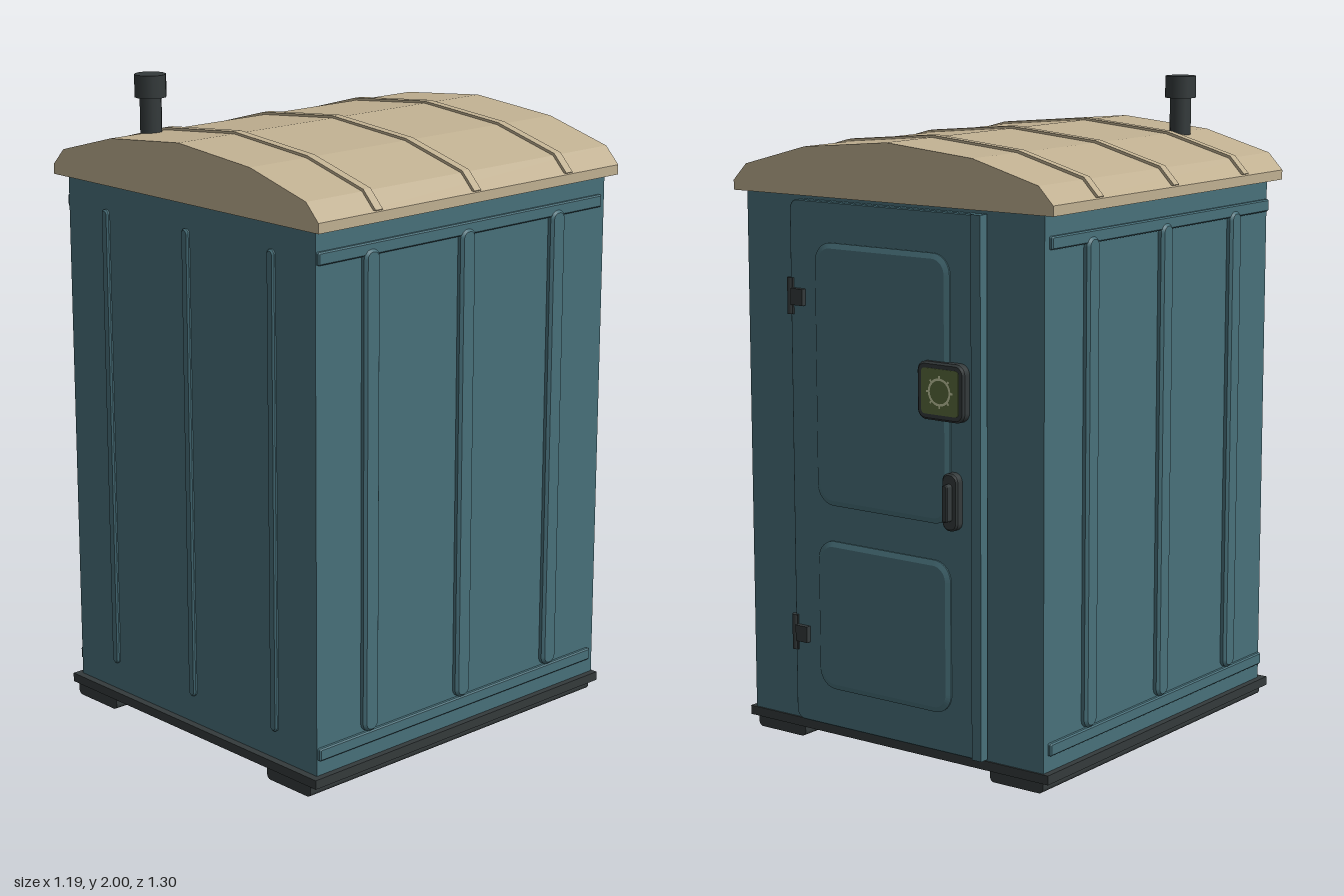
import * as THREE from 'three';

const mat = (name, color) => {
  const m = new THREE.MeshStandardMaterial({ color });
  m.name = name;
  return m;
};

export function createModel() {
  const teal = mat('teal plastic', 0x48707a);
  const tan = mat('tan plastic', 0xc0b091);
  const dark = mat('charcoal', 0x343a3b);
  const olive = mat('olive sign', 0x5a6b3c);
  const pale = mat('pale ring', 0xc3c9a0);

  const model = new THREE.Group();
  model.name = 'portableCabin';

  const add = (name, geo, material, x = 0, y = 0, z = 0, ry = 0) => {
    const m = new THREE.Mesh(geo, material);
    m.name = name;
    m.position.set(x, y, z);
    m.rotation.y = ry;
    model.add(m);
    return m;
  };
  // Box given by its limits on each axis
  const box = (name, material, x0, x1, y0, y1, z0, z1) =>
    add(name, new THREE.BoxGeometry(x1 - x0, y1 - y0, z1 - z0), material,
      (x0 + x1) / 2, (y0 + y1) / 2, (z0 + z1) / 2);

  // Rounded plate centred on x and y, rising along +z, with a chamfered front rim
  const plate = (w, h, r, depth, bevel) => {
    const a = w / 2 - bevel, b = h / 2 - bevel, q = Math.max(r - bevel, 0.001);
    const s = new THREE.Shape();
    s.absarc(a - q, b - q, q, 0, Math.PI / 2);
    s.absarc(-a + q, b - q, q, Math.PI / 2, Math.PI);
    s.absarc(-a + q, -b + q, q, Math.PI, Math.PI * 1.5);
    s.absarc(a - q, -b + q, q, Math.PI * 1.5, Math.PI * 2);
    const lift = Math.min(bevel, depth / 2);
    const g = new THREE.ExtrudeGeometry(s, {
      depth: depth - lift, bevelEnabled: bevel > 0, bevelSize: bevel,
      bevelThickness: lift, bevelSegments: 1, curveSegments: 5,
    });
    return g;
  };

  // Base slab and skids
  box('baseSlab', dark, -0.57, 0.57, 0.035, 0.063, -0.575, 0.648);
  for (const s of [-1, 1]) {
    const skid = add('skid', plate(0.19, 0.06, 0.015, 1.2, 0), dark, s * 0.45, 0.03, -0.565);
    skid.scale.z = 1.21 / 1.2;
  }

  // Cabin walls
  box('cabin', teal, -0.55, 0.55, 0.06, 1.69, -0.57, 0.625);

  // Upright ribs on the front wall
  for (const x of [-0.37, 0, 0.37])
    add('frontRib', plate(0.03, 1.45, 0.015, 0.012, 0.005), teal, x, 0.875, 0.623);

  // Side ribs and the rails that join them
  for (const s of [-1, 1]) {
    for (const z of [0.42, 0.035, -0.35])
      add('sideRib', plate(0.06, 1.45, 0.028, 0.02, 0.008), teal, s * 0.549, 0.875, z, s * Math.PI / 2);
    for (const y of [0.13, 1.6])
      add('sideRail', plate(1.17, 0.038, 0.006, 0.013, 0.004), teal, s * 0.549, y, 0.037, s * Math.PI / 2);
  }

  // Arched roof with raised bands
  const half = [[0.59, 1.71], [0.54, 1.762], [0.31, 1.825]];
  const arch = (foot, dx, dy) => {
    const pts = [[0.59 + dx, foot], ...half.map(([x, y]) => [x + dx, y + dy])];
    const all = [...pts, [0, 1.853 + dy], ...pts.slice().reverse().map(([x, y]) => [-x, y])];
    return new THREE.Shape(all.map(([x, y]) => new THREE.Vector2(x, y)));
  };
  const roofGeo = (shape, depth) => new THREE.ExtrudeGeometry(shape, { depth, bevelEnabled: false });
  add('roof', roofGeo(arch(1.68, 0, 0), 1.236), tan, 0, 0, -0.586);
  for (const z of [0.425, 0.032, -0.36])
    add('roofBand', roofGeo(arch(1.715, 0.005, 0.007), 0.028), tan, 0, 0, z - 0.014);

  // Vent pipe and cap
  add('ventPipe', new THREE.CylinderGeometry(0.033, 0.033, 0.15, 12), dark, -0.308, 1.865, 0.497);
  add('ventCap', new THREE.CylinderGeometry(0.048, 0.048, 0.068, 12), dark, -0.308, 1.966, 0.497);

  // Door with edge strip and two raised panels
  const back = (name, geo, material, x, y, z) => add(name, geo, material, x, y, z, Math.PI);
  back('door', plate(0.71, 1.6, 0.03, 0.024, 0.003), teal, 0.003, 0.87, -0.576);
  box('doorEdgeStrip', teal, -0.354, -0.32, 0.07, 1.67, -0.607, -0.575);
  back('upperPanel', plate(0.5, 0.79, 0.06, 0.012, 0.016), teal, 0.008, 1.155, -0.598);
  back('lowerPanel', plate(0.5, 0.46, 0.06, 0.012, 0.016), teal, 0.008, 0.42, -0.598);

  // Hinges
  for (const y of [0.345, 1.38]) {
    box('hingeLeaf', dark, 0.3, 0.345, y - 0.025, y + 0.025, -0.616, -0.595);
    box('hingePlate', dark, 0.345, 0.365, y - 0.055, y + 0.055, -0.605, -0.565);
    add('hingePin', new THREE.CylinderGeometry(0.013, 0.013, 0.11, 10), dark, 0.357, y, -0.597);
  }

  // Status sign
  back('signFrame', plate(0.17, 0.17, 0.03, 0.028, 0.006), dark, -0.225, 1.155, -0.6);
  back('signFace', plate(0.134, 0.134, 0.012, 0.003, 0), olive, -0.225, 1.155, -0.627);
  back('signRing', new THREE.RingGeometry(0.034, 0.041, 24), pale, -0.225, 1.155, -0.632);
  for (let i = 0; i < 8; i++) {
    const a = i * Math.PI / 4;
    const t = back('signTick', new THREE.PlaneGeometry(0.006, 0.01), pale,
      -0.225 + Math.cos(a) * 0.043, 1.155 + Math.sin(a) * 0.043, -0.632);
    t.rotation.z = Math.PI / 2 - a;
  }

  // Door handle
  back('handlePlate', plate(0.056, 0.17, 0.025, 0.028, 0.005), dark, -0.255, 0.835, -0.598);
  back('handleGrip', plate(0.02, 0.11, 0.008, 0.026, 0.003), dark, -0.255, 0.835, -0.624);

  return model;
}
